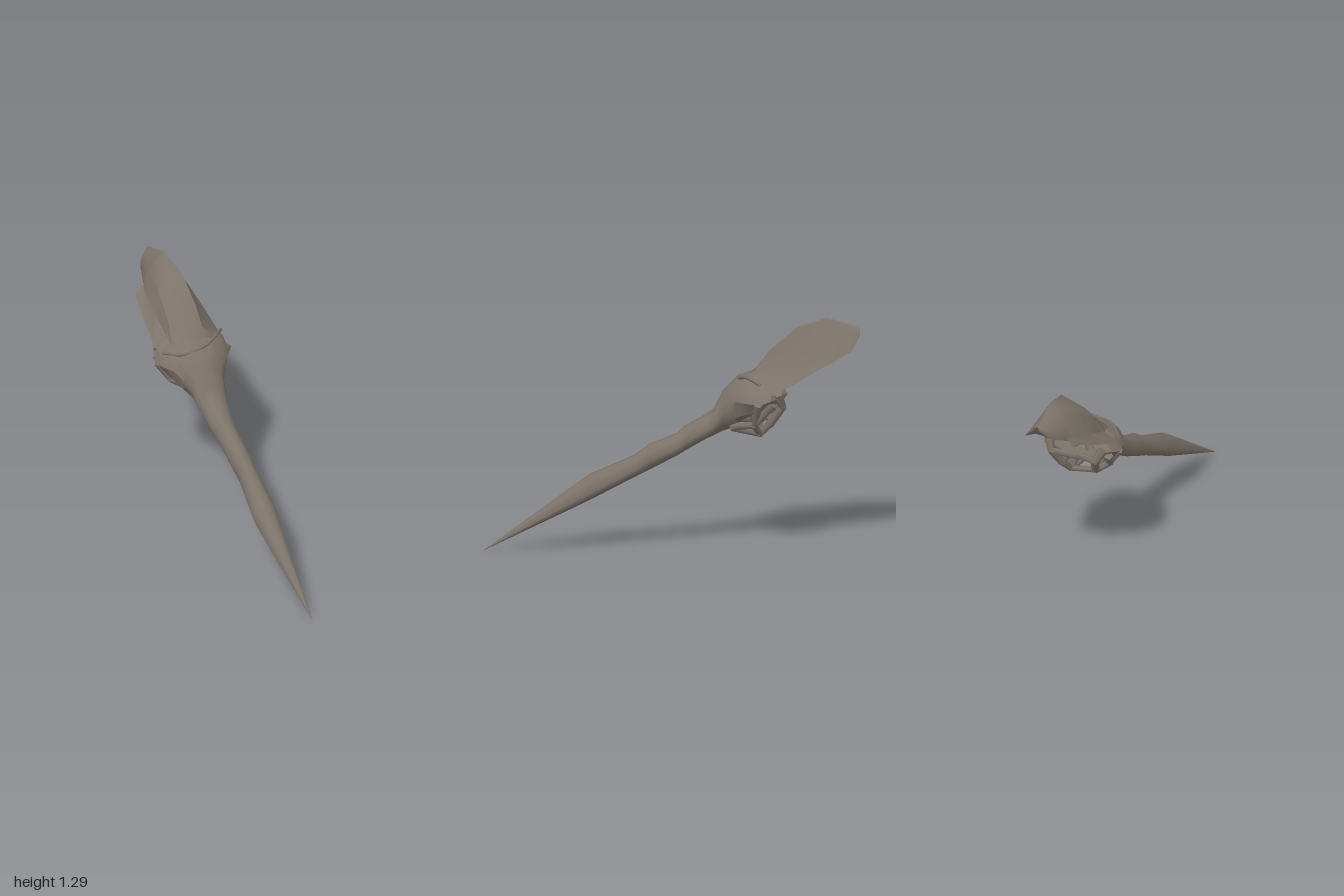
import * as THREE from 'three';
import { toCreasedNormals } from 'three/addons/utils/BufferGeometryUtils.js';

const bone = new THREE.MeshStandardMaterial({ color: 0x7c736a, side: THREE.DoubleSide });
bone.name = 'weathered bone';

// Skin a list of closed rings (anticlockwise seen from the front, running front to back)
function loft(rings, crease) {
  const n = rings[0].length, index = [];
  for (let s = 0; s < rings.length - 1; s++) {
    for (let i = 0; i < n; i++) {
      const j = (i + 1) % n, a = s * n, b = a + n;
      index.push(a + i, b + i, a + j, a + j, b + i, b + j);
    }
  }
  const geo = new THREE.BufferGeometry();
  geo.setAttribute('position', new THREE.Float32BufferAttribute(rings.flat(2), 3));
  geo.setIndex(index);
  geo.computeVertexNormals();
  return crease ? toCreasedNormals(geo, crease) : geo;
}

// Uneven oval ring: left/right reach, top, bottom, and the height of the widest point
function oval([z, xl, xr, top, bottom, wide], sides = 10) {
  const ring = [];
  for (let i = 0; i < sides; i++) {
    const t = (i / sides) * Math.PI * 2, c = Math.cos(t), s = Math.sin(t);
    const mid = (xl + xr) / 2;
    ring.push([mid + (c * (xr - xl)) / 2, wide + s * (s > 0 ? top - wide : wide - bottom), z]);
  }
  return ring;
}

// Crest ring: the given outline from right foot to left foot, closed by a shallow hollow underside
function crestRing([z, ...outline]) {
  const right = outline[0], left = outline[outline.length - 1];
  const y = (right[1] + left[1]) / 2 + 0.02;
  return [...outline, [left[0] * 0.33, y], [right[0] * 0.33, y]].map(p => [...p, z]);
}

function add(group, name, geo) {
  const mesh = new THREE.Mesh(geo, bone);
  mesh.name = name;
  group.add(mesh);
}

// Faceted tapering bone between two points
function strut(a, b, r0, r1) {
  const p = new THREE.Vector3(...a), q = new THREE.Vector3(...b);
  const d = q.clone().sub(p);
  const geo = new THREE.CylinderGeometry(r1, r0, d.length() + 0.02, 5);
  geo.applyQuaternion(new THREE.Quaternion().setFromUnitVectors(new THREE.Vector3(0, 1, 0), d.normalize()));
  const m = p.add(q).multiplyScalar(0.5);
  return geo.translate(m.x, m.y, m.z);
}

export function createModel() {
  const model = new THREE.Group();
  model.name = 'beakedSkull';

  // Long pointed beak flowing into the face: z, left, right, top, bottom, widest height
  add(model, 'beak', loft([
    [1.0, -0.01, -0.01, 0.002, 0, 0.001],
    [0.44, -0.08, 0.06, 0.42, 0.28, 0.33],
    [0.2, -0.055, 0.055, 0.53, 0.41, 0.46],
    [0.12, -0.06, 0.055, 0.59, 0.45, 0.51],
    [-0.03, -0.068, 0.055, 0.65, 0.53, 0.58],
    [-0.07, -0.074, 0.055, 0.69, 0.555, 0.61],
    [-0.18, -0.092, 0.07, 0.75, 0.62, 0.68],
    [-0.22, -0.098, 0.08, 0.78, 0.64, 0.71],
    [-0.27, -0.11, 0.09, 0.88, 0.665, 0.78],
    [-0.34, -0.16, 0.14, 0.95, 0.69, 0.85],
  ].map(r => oval(r))));

  // Broad hollow cheeks, folding inward at the back
  add(model, 'cheeks', loft([
    [-0.29, -0.12, 0.1, 0.9, 0.69, 0.8],
    [-0.34, -0.17, 0.145, 0.95, 0.7, 0.86],
    [-0.4, -0.2, 0.185, 0.98, 0.745, 0.86],
    [-0.47, -0.218, 0.205, 0.99, 0.77, 0.855],
    [-0.53, -0.2, 0.21, 0.96, 0.81, 0.88],
    [-0.57, -0.15, 0.15, 0.93, 0.83, 0.88],
    [-0.49, -0.1, 0.1, 0.91, 0.83, 0.87],
    [-0.46, 0, 0, 0.86, 0.86, 0.86],
  ].map(r => oval(r)), 0.7));

  // Tall helmet crest: z, right foot, right flank, ridge, plate, shoulder, wing root, left foot
  add(model, 'crest', loft([
    [-0.4, [0.16, 0.9], [0.1, 0.95], [0.05, 0.97], [-0.03, 0.96], [-0.11, 0.95], [-0.13, 0.93], [-0.18, 0.9]],
    [-0.45, [0.18, 0.9], [0.1, 0.97], [0.05, 1.02], [-0.03, 1.01], [-0.115, 0.98], [-0.13, 0.94], [-0.195, 0.91]],
    [-0.52, [0.19, 0.9], [0.1, 1.0], [0.045, 1.12], [-0.03, 1.1], [-0.115, 1.05], [-0.13, 0.98], [-0.2, 0.93]],
    [-0.66, [0.175, 0.97], [0.095, 1.08], [0.035, 1.24], [-0.04, 1.22], [-0.105, 1.17], [-0.13, 1.04], [-0.185, 0.99]],
    [-0.82, [0.145, 1.06], [0.075, 1.17], [0.01, 1.29], [-0.04, 1.255], [-0.09, 1.205], [-0.115, 1.1], [-0.165, 1.07]],
    [-0.845, [0.14, 1.07], [0.07, 1.18], [0.01, 1.285], [-0.035, 1.25], [-0.085, 1.2], [-0.1, 1.12], [-0.1, 1.09]],
    [-0.96, [0.095, 1.13], [0.055, 1.19], [0, 1.245], [-0.03, 1.23], [-0.055, 1.2], [-0.065, 1.17], [-0.065, 1.15]],
    [-1.0, [0.03, 1.2], [0.02, 1.22], [0, 1.23], [0, 1.23], [-0.01, 1.22], [-0.01, 1.215], [-0.01, 1.21]],
  ].map(crestRing), 0.75));

  // Slim brow rim where the crest meets the face
  const brow = new THREE.CatmullRomCurve3([
    [-0.19, 0.93, -0.44], [-0.11, 0.94, -0.36], [0.02, 0.96, -0.36], [0.11, 0.985, -0.4], [0.17, 0.96, -0.47],
  ].map(p => new THREE.Vector3(...p)));
  add(model, 'browRim', new THREE.TubeGeometry(brow, 12, 0.009, 5));

  // Cage of jaw and palate bones; the right side hangs less low
  const rim = [0.2, 0.85, -0.46], elbow = [0.14, 0.73, -0.44], throat = [0.05, 0.7, -0.33];
  const low = [0.075, 0.67, -0.47], heel = [0.1, 0.74, -0.53], rear = [0.13, 0.83, -0.59];
  const struts = [
    [rim, elbow, 0.024, 0.018],
    [elbow, throat, 0.018, 0.024],
    [elbow, low, 0.02, 0.018],
    [low, throat, 0.018, 0.026],
    [low, heel, 0.018, 0.024],
    [heel, rear, 0.024, 0.022],
    [rear, [0.16, 0.9, -0.57], 0.022, 0.026],
    [elbow, [0.18, 0.85, -0.53], 0.018, 0.026],
    [low, [0.05, 0.82, -0.42], 0.018, 0.03],
    [heel, [0.04, 0.85, -0.48], 0.02, 0.03],
    [rear, [0, 0.8, -0.53], 0.02, 0.022],
  ];
  for (const side of [1, -1]) {
    const cage = new THREE.Group();
    cage.name = side > 0 ? 'leftJawCage' : 'rightJawCage';
    const place = ([x, y, z]) => [x * side, side > 0 ? y : 0.85 + (y - 0.85) * 0.82, z];
    for (const [a, b, r0, r1] of struts) add(cage, 'jawBone', strut(place(a), place(b), r0, r1));
    model.add(cage);
  }
  add(model, 'jawCrossBone', strut([-0.075, 0.7, -0.47], low, 0.016, 0.016));

  return model;
}
